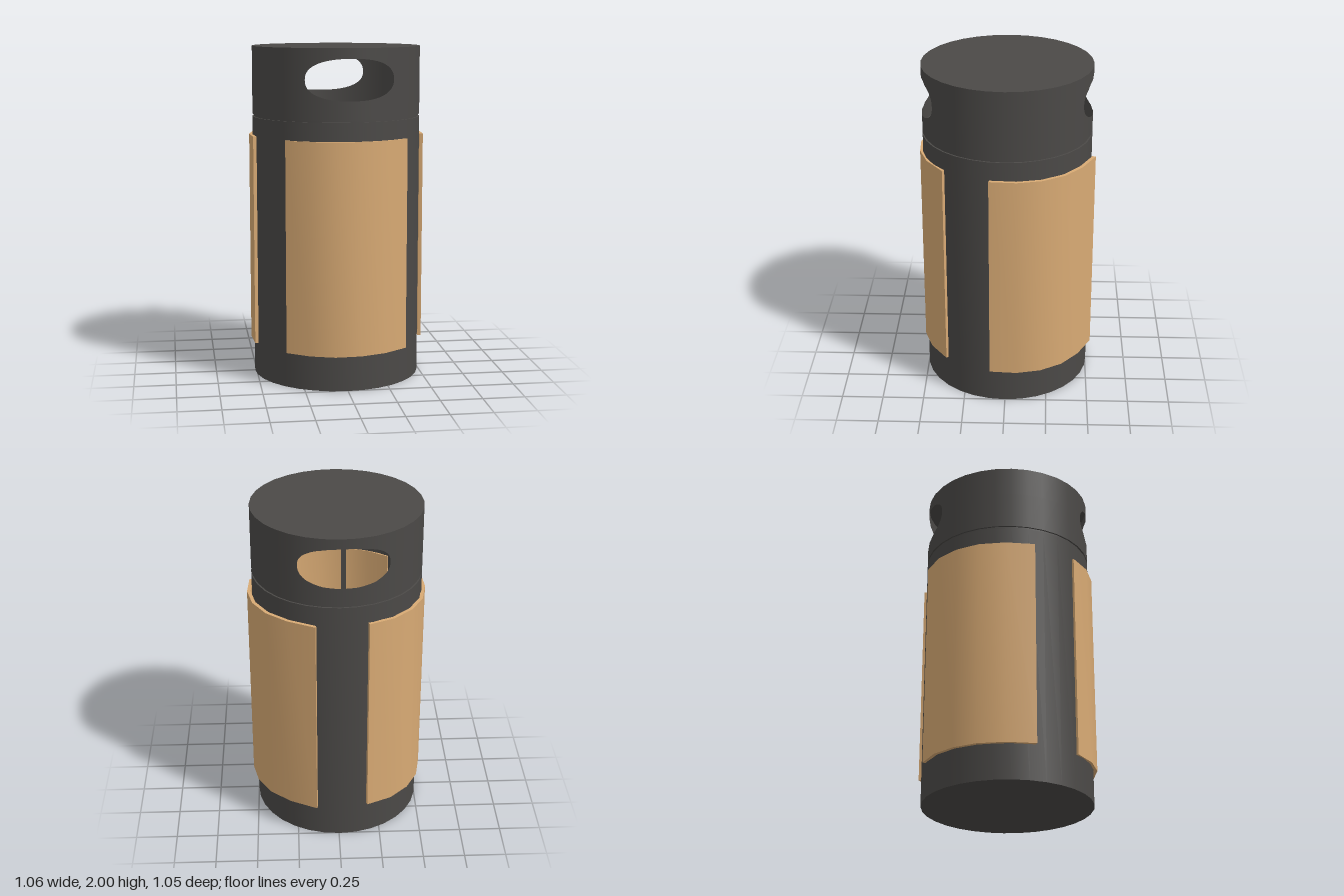
import * as THREE from 'three';
import { toCreasedNormals } from 'three/addons/utils/BufferGeometryUtils.js';

const R = 0.505, SIDES = 32, STEP = (Math.PI * 2) / SIDES;
const LID_BASE = 1.595, TOP = 2;
const HOLE = { turn: 0.05, half: 0.26, mid: 1.82, rise: 0.12, power: 2.4 };

const metal = new THREE.MeshStandardMaterial({ color: 0x4b4947, side: THREE.DoubleSide });
const wood = new THREE.MeshStandardMaterial({ color: 0xd8aa74 });

function add(group, name, geometry, material) {
  const mesh = new THREE.Mesh(geometry, material);
  mesh.name = name;
  group.add(mesh);
  return mesh;
}

// Radius of the many-sided wall at any angle
function wallRadius(a) {
  const d = a - (Math.floor(a / STEP + 1e-6) + 0.5) * STEP;
  return (R * Math.cos(STEP / 2)) / Math.cos(d);
}

// Half height of the rounded opening at an angle (front and back alike)
function openingHalf(a) {
  const u = Math.abs(Math.sin(a - HOLE.turn) * R) / HOLE.half;
  return u >= 1 ? 0 : HOLE.rise * Math.pow(1 - Math.pow(u, HOLE.power), 1 / HOLE.power);
}

// Lid wall: one strip below and one above the two openings
function lidWallGeometry() {
  const turn = Math.PI * 2, angles = [];
  for (let i = 0; i < SIDES; i++) angles.push(i * STEP);
  for (const centre of [HOLE.turn, HOLE.turn + Math.PI]) {
    for (let i = 0; i <= 40; i++) {
      const a = centre + Math.asin((-Math.cos((i / 40) * Math.PI) * HOLE.half) / R);
      angles.push((a + turn) % turn);
    }
  }
  angles.sort((p, q) => p - q);
  angles.push(turn);
  const position = [], normal = [], index = [];
  angles.forEach((a, i) => {
    const r = wallRadius(a), h = openingHalf(a);
    for (const y of [LID_BASE, HOLE.mid - h, HOLE.mid + h, TOP]) {
      position.push(Math.sin(a) * r, y, Math.cos(a) * r);
      normal.push(Math.sin(a), 0, Math.cos(a));
    }
    if (i === 0) return;
    for (const row of [0, 2]) {
      const p = (i - 1) * 4 + row, q = i * 4 + row;
      index.push(p, q, q + 1, p, q + 1, p + 1);
    }
  });
  const g = new THREE.BufferGeometry();
  g.setAttribute('position', new THREE.Float32BufferAttribute(position, 3));
  g.setAttribute('normal', new THREE.Float32BufferAttribute(normal, 3));
  g.setIndex(index);
  return g;
}

// Curved slab that follows a plan outline of [x, z] points
function panelGeometry(outer) {
  const inner = outer.map(([x, z]) => {
    const k = 1 - 0.021 / Math.hypot(x, z);
    return [x * k, z * k];
  });
  const outline = [...outer, ...inner.reverse()].map(([x, z]) => new THREE.Vector2(x, -z));
  const g = new THREE.ExtrudeGeometry(new THREE.Shape(outline), { depth: 1.26, bevelEnabled: false });
  g.rotateX(-Math.PI / 2);
  g.translate(0, 0.21, 0);
  return toCreasedNormals(g, 0.5);
}

export function createModel() {
  const model = new THREE.Group();
  model.name = 'litterBin';

  // Hollow drum with a narrow groove under the lid
  const drum = new THREE.Group();
  drum.name = 'drum';
  drum.position.x = -0.005;
  model.add(drum);
  const profile = [[R, 0], [R, 1.58], [R - 0.01, 1.58], [R - 0.01, LID_BASE], [R, LID_BASE]];
  const body = new THREE.LatheGeometry(profile.map(([x, y]) => new THREE.Vector2(x, y)), SIDES);
  add(drum, 'bodyWall', toCreasedNormals(body, 0.6), metal);
  add(drum, 'base', new THREE.CircleGeometry(R, SIDES).rotateX(Math.PI / 2), metal);

  // Lid with front and back openings
  add(drum, 'lidWall', lidWallGeometry(), metal);
  add(drum, 'lidTop', new THREE.CircleGeometry(R, SIDES).rotateX(-Math.PI / 2), metal).position.y = TOP;

  // Three wooden panels around the drum
  const panels = {
    frontPanel: [[-0.35, 0.385], [-0.22, 0.475], [-0.075, 0.522], [0.08, 0.515], [0.23, 0.463], [0.37, 0.364]],
    leftPanel: [[0.135, -0.524], [0.293, -0.445], [0.415, -0.343], [0.494, -0.213], [0.527, -0.068], [0.516, 0.092]],
    rightPanel: [[-0.173, -0.497], [-0.32, -0.43], [-0.429, -0.325], [-0.5, -0.195], [-0.529, -0.035], [-0.517, 0.14]],
  };
  for (const [name, outline] of Object.entries(panels)) add(model, name, panelGeometry(outline), wood);

  return model;
}
